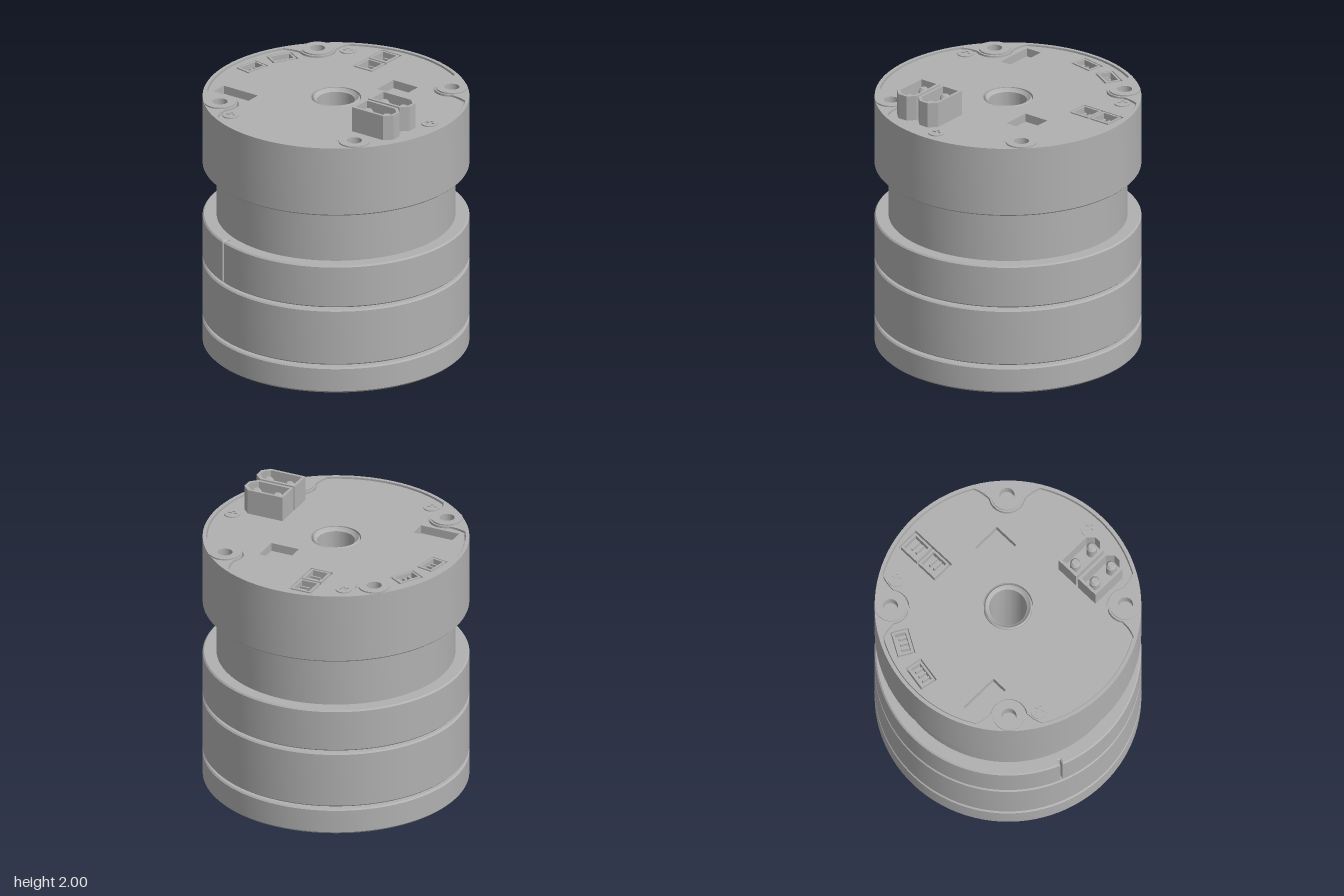
import * as THREE from 'three';
import { toCreasedNormals } from 'three/addons/utils/BufferGeometryUtils.js';

const RAD = Math.PI / 180;
const SEG = 96;
const grey = new THREE.MeshStandardMaterial({ color: 0xb0b0b0 });
grey.name = 'satinGrey';

export function createModel() {
  const model = new THREE.Group();
  model.name = 'actuator';

  const add = (name, geo, parent = model) => {
    const mesh = new THREE.Mesh(toCreasedNormals(geo, 0.5), grey);
    mesh.name = name;
    parent.add(mesh);
    return mesh;
  };
  const lathe = (name, pts) =>
    add(name, new THREE.LatheGeometry(pts.map(p => new THREE.Vector2(...p)), SEG));
  // Plate drawn in (x, z), filling y0 to y1
  const plate = (name, shape, y0, y1, parent, segs = 24) => {
    const geo = new THREE.ExtrudeGeometry(shape, { depth: y1 - y0, bevelEnabled: false, curveSegments: segs });
    return add(name, geo.rotateX(Math.PI / 2).translate(0, y1, 0), parent);
  };
  const circle = (r, x = 0, z = 0) => new THREE.Shape().absarc(x, z, r, 0, Math.PI * 2, false);
  const poly = pts => new THREE.Shape(pts.map(p => new THREE.Vector2(...p)));
  const polar = (r, deg) => [r * Math.cos(deg * RAD), r * Math.sin(deg * RAD)];
  const rect = (w, d, x = 0, z = 0, deg = 0) => {
    const c = Math.cos(deg * RAD), s = Math.sin(deg * RAD);
    return poly([[-1, -1], [1, -1], [1, 1], [-1, 1]].map(([i, j]) => {
      const u = i * w / 2, v = j * d / 2;
      return [x + u * c - v * s, z + u * s + v * c];
    }));
  };
  const placed = (name, x, z, deg) => {
    const g = new THREE.Group();
    g.name = name;
    g.position.set(x, 0, z);
    g.rotation.y = -deg * RAD;
    model.add(g);
    return g;
  };

  // Screw head with a cross recess
  const screw = (name, x, z, y0, y1, deg) => {
    const g = placed(name, x, z, deg);
    const a = 0.01, b = 0.034;
    const head = circle(0.057);
    head.holes.push(poly([[a, a], [b, a], [b, -a], [a, -a], [a, -b], [-a, -b],
      [-a, -a], [-b, -a], [-b, a], [-a, a], [-a, b], [a, b]]));
    plate('screwHead', head, y0, y1, g);
  };

  // Base: rim, drilled mounting ring, and the bore with the bottom disc
  lathe('baseFlange', [[0.9, 0], [0.915, 0.015], [0.915, 0.18], [0.905, 0.19], [0.84, 0.19], [0.84, 0.21]]);
  const ring = circle(0.9);
  ring.holes.push(circle(0.68));
  const drill = [-90];
  for (let k = 0; k < 8; k++) drill.push(22.5 + 45 * k);
  drill.forEach(a => ring.holes.push(circle(0.047, ...polar(0.775, a))));
  for (let k = 0; k < 4; k++) {
    const p = polar(0.78, 45 + 90 * k);
    ring.holes.push(circle(0.07, ...p));
    screw('baseScrew', ...p, 0.004, 0.05, 20);
  }
  plate('mountingRing', ring, 0, 0.1, model, 48);
  lathe('boreAndBottomDisc', [[0.165, 1.74], [0.165, 1.81], [0.155, 1.822], [0.145, 1.81], [0.13, 1.8],
    [0.13, 0.14], [0.145, 0.06], [0.17, 0], [0.672, 0], [0.672, 0.015], [0.69, 0.015], [0.69, 0.1], [0.9, 0.1]]);

  // Output drum and the narrow hub above it
  lathe('outputDrum', [[0.84, 0.21], [0.905, 0.21], [0.915, 0.22], [0.915, 0.61], [0.905, 0.62],
    [0.19, 0.62], [0.19, 0.64]]);

  // Middle ring with a slot in its side
  const slot = 156.8, half = 1.1;
  const middle = new THREE.Shape();
  middle.absarc(0, 0, 0.905, (slot + half) * RAD, (slot - half + 360) * RAD, false);
  middle.lineTo(...polar(0.865, slot - half));
  middle.lineTo(...polar(0.865, slot + half));
  middle.holes.push(circle(0.18));
  add('middleRing', new THREE.ExtrudeGeometry(middle, {
    depth: 0.29, bevelSize: 0.01, bevelThickness: 0.01, bevelSegments: 1, curveSegments: SEG,
  }).rotateX(Math.PI / 2).translate(0, 0.94, 0));

  // Waist and top housing
  lathe('waist', [[0.82, 0.95], [0.82, 1.325]]);
  lathe('topHousing', [[0.82, 1.325], [0.905, 1.325], [0.915, 1.335], [0.915, 1.79]]);
  lathe('housingFloor', [[0.9, 1.76], [0.13, 1.76]]);

  // Board outline: a circle that bends inward around four bosses
  const BOSS = 0.805;
  const outline = inset => {
    const s = new THREE.Shape(), r = 0.89 - inset, br = 0.12 + inset;
    for (let k = 0; k < 4; k++) {
      const beta = 90 * (k + 1);
      const at = (rad, tan) => {
        const c = Math.cos(beta * RAD), n = Math.sin(beta * RAD);
        return [rad * c - tan * n, rad * n + tan * c];
      };
      s.absarc(0, 0, r, (beta - 75) * RAD, (beta - 15) * RAD, false);
      const [cx, cz] = at(BOSS, 0);
      const arcAt = d => [cx + br * Math.cos(d * RAD), cz + br * Math.sin(d * RAD)];
      s.quadraticCurveTo(...at(0.84 - inset, -0.17 - inset), ...arcAt(beta - 100));
      s.absarc(cx, cz, br, (beta - 100) * RAD, (beta - 260) * RAD, true);
      s.quadraticCurveTo(...at(0.84 - inset, 0.17 + inset), ...polar(r, beta + 15));
    }
    return s;
  };
  const rim = circle(0.915);
  rim.holes.push(outline(0));
  for (let k = 0; k < 4; k++) {
    const p = polar(BOSS, 90 * k);
    rim.holes.push(circle(0.052, ...p));
    const boss = circle(0.108, ...p);
    boss.holes.push(circle(0.052, ...p));
    plate('mountingBoss', boss, 1.83, 1.84);
  }
  plate('topRim', rim, 1.76, 1.83, model, 48);

  // Top board with cutouts for the bore, pockets and sockets
  const board = outline(0.008);
  board.holes.push(
    circle(0.172),
    rect(0.29, 0.12, -0.67, -0.165, 45),
    rect(0.19, 0.21, 0.44, -0.08, -45),
    rect(0.35, 0.17, 0.375, -0.565, -45),
    rect(0.19, 0.13, -0.49, -0.6, -35),
    rect(0.19, 0.13, -0.26, -0.725, -15),
  );
  plate('topBoard', board, 1.76, 1.82);

  // Small open sockets with contact pins
  const socket = (x, z, deg, w, d, pins) => {
    const g = placed('signalSocket', x, z, deg);
    const shell = rect(w, d);
    shell.holes.push(rect(w - 0.03, d - 0.03));
    plate('socketShell', shell, 1.76, 1.822, g);
    for (let i = 0; i < pins; i++) {
      const px = (i - (pins - 1) / 2) * 0.04;
      plate('socketPin', rect(0.012, d * 0.5, px, d * 0.1), 1.76, 1.8, g);
    }
  };
  socket(-0.49, -0.6, -35, 0.17, 0.11, 3);
  socket(-0.26, -0.725, -15, 0.17, 0.11, 3);
  socket(0.315, -0.505, -45, 0.155, 0.145, 2);
  socket(0.435, -0.625, -45, 0.155, 0.145, 2);

  // Tall power plugs: hollow shells, chamfered at one end, two pins each
  const plugShape = (l, w, c) => poly([[-l, -w], [l - c, -w], [l, -w + c], [l, w - c], [l - c, w], [-l, w]]);
  [[0.32, 0.52], [0.186, 0.652]].forEach(([x, z]) => {
    const g = placed('powerPlug', x, z, 45);
    const shell = plugShape(0.158, 0.085, 0.05);
    shell.holes.push(plugShape(0.138, 0.065, 0.042));
    plate('plugShell', shell, 1.82, 2, g);
    plate('plugFloor', plugShape(0.14, 0.067, 0.042), 1.82, 1.85, g);
    [-0.08, 0.08].forEach(px => {
      const pin = new THREE.CylinderGeometry(0.022, 0.036, 0.02, 16).translate(px, 1.965, 0);
      add('plugPinTip', pin, g);
      add('plugPin', new THREE.CylinderGeometry(0.036, 0.036, 0.11, 16).translate(px, 1.9, 0), g);
    });
  });

  // Board screws
  [[0.205, -0.765, 10], [-0.765, 0.205, 25], [0.56, 0.56, 40]].forEach(([x, z, d]) =>
    screw('boardScrew', x, z, 1.815, 1.828, d));

  return model;
}
